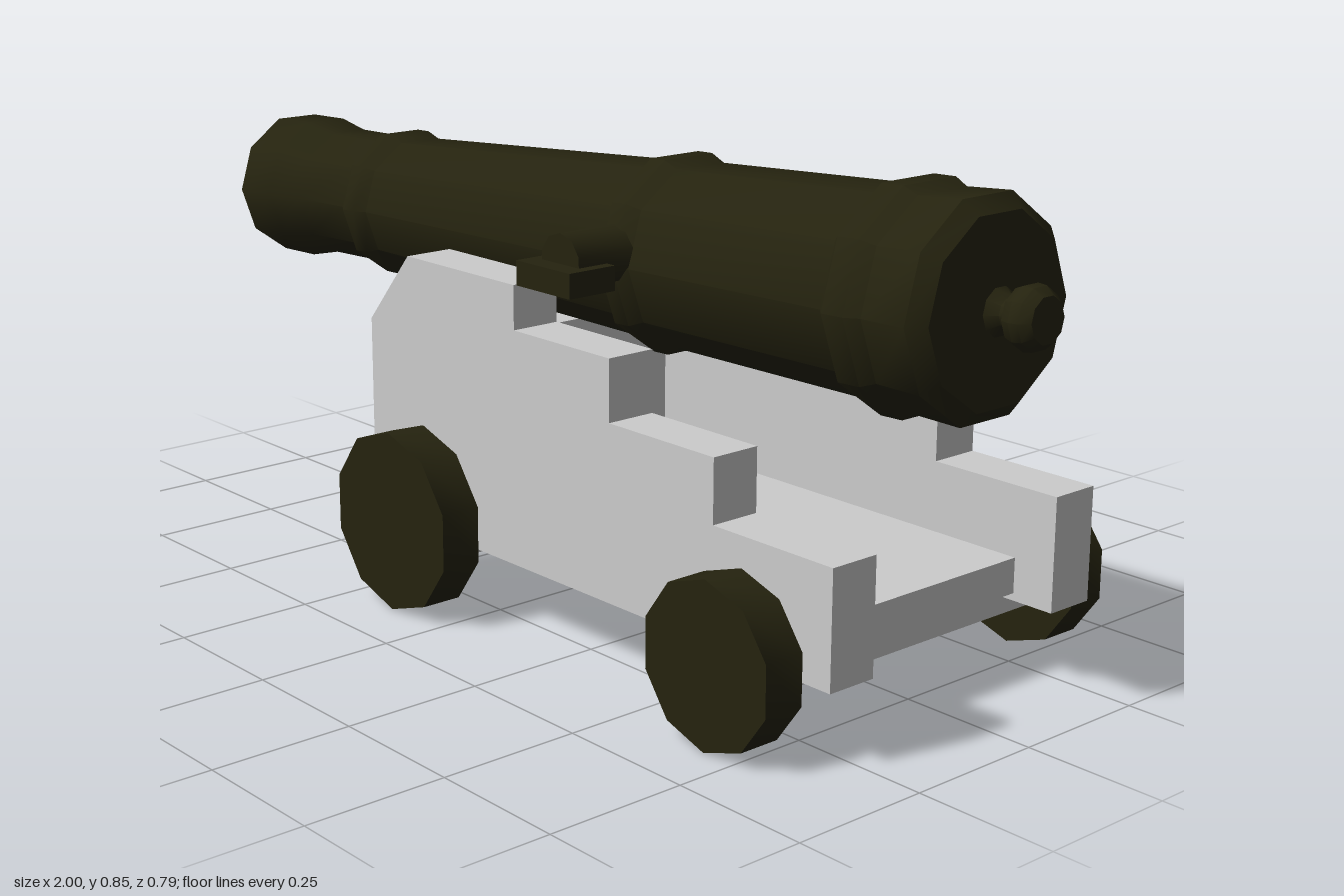
import * as THREE from 'three';
import { toCreasedNormals } from 'three/addons/utils/BufferGeometryUtils.js';

export function createModel() {
  const iron = new THREE.MeshStandardMaterial({ color: 0x25230f });
  iron.name = 'dark iron';
  const wood = new THREE.MeshStandardMaterial({ color: 0xcccccc });
  wood.name = 'pale grey timber';
  const model = new THREE.Group();
  model.name = 'cannon';

  const add = (name, geometry, material) => {
    const mesh = new THREE.Mesh(geometry, material);
    mesh.name = name;
    model.add(mesh);
    return mesh;
  };
  // Box given by its limits on each axis
  const box = (name, x0, x1, y0, y1, z0, z1, material) =>
    add(name, new THREE.BoxGeometry(x1 - x0, y1 - y0, z1 - z0), material)
      .position.set((x0 + x1) / 2, (y0 + y1) / 2, (z0 + z1) / 2);
  // Ten-sided disc or pin lying along z
  const pin = (name, x, y, z, r, length) =>
    add(name, toCreasedNormals(
      new THREE.CylinderGeometry(r, r, length, 10).rotateX(Math.PI / 2), 0.75), iron)
      .position.set(x, y, z);

  // Barrel turned about its axis: [radius, distance along barrel]
  const profile = [
    [0, -0.85], [0.05, -0.85], [0.05, -0.993], [0.13, -0.998], [0.143, -0.985],
    [0.143, -0.88], [0.127, -0.8], [0.126, -0.645], [0.143, -0.62], [0.143, -0.585],
    [0.131, -0.56], [0.158, 0.165], [0.177, 0.185], [0.177, 0.22], [0.163, 0.245],
    [0.174, 0.7], [0.193, 0.72], [0.193, 0.765], [0.18, 0.79], [0.184, 0.88],
    [0.158, 0.905], [0.04, 0.907], [0.025, 0.925], [0.026, 0.937], [0.046, 0.947],
    [0.053, 0.965], [0.051, 0.982], [0.038, 0.998], [0, 1.0],
  ].map(([r, d]) => new THREE.Vector2(r, d));
  const barrel = add('barrel', toCreasedNormals(
    new THREE.LatheGeometry(profile, 10).rotateZ(-Math.PI / 2), 0.75), iron);
  barrel.rotation.z = 0.0347;
  barrel.position.y = 0.643;

  // Stepped side board outline
  const cheek = new THREE.Shape([
    [-0.3, 0.128], [0.865, 0.128], [0.865, 0.327], [0.607, 0.327], [0.607, 0.437],
    [0.36, 0.437], [0.36, 0.545], [0.115, 0.545], [0.115, 0.623], [-0.185, 0.623],
    [-0.3, 0.49],
  ].map(([x, y]) => new THREE.Vector2(x, y)));

  for (const [side, s] of [['left', -1], ['right', 1]]) {
    // Side boards and the barrel's pivots with their straps
    const board = add(side === 'left' ? 'rearCheek' : 'frontCheek',
      new THREE.ExtrudeGeometry(cheek, { depth: 0.093, bevelEnabled: false }), wood);
    board.position.z = s > 0 ? 0.211 : -0.304;
    pin('trunnion', 0.197, 0.67, s * 0.2, 0.05, 0.14);
    box('trunnionStrap', 0.127, 0.265, 0.625, 0.668, s * 0.258 - 0.049, s * 0.258 + 0.049, iron);
    // Wheels
    pin('largeWheel', -0.128, 0.164, s * 0.357, 0.164, 0.076);
    pin('smallWheel', 0.687, 0.141, s * 0.357, 0.141, 0.076);
  }

  // Carriage cross pieces
  box('frontAxle', -0.195, -0.07, 0.088, 0.218, -0.32, 0.32, wood);
  box('rearAxle', 0.625, 0.745, 0.088, 0.196, -0.32, 0.32, wood);
  box('bed', -0.19, 0.785, 0.141, 0.203, -0.211, 0.211, wood);
  box('frontTransom', -0.19, -0.075, 0.141, 0.482, -0.211, 0.211, wood);

  return model;
}
